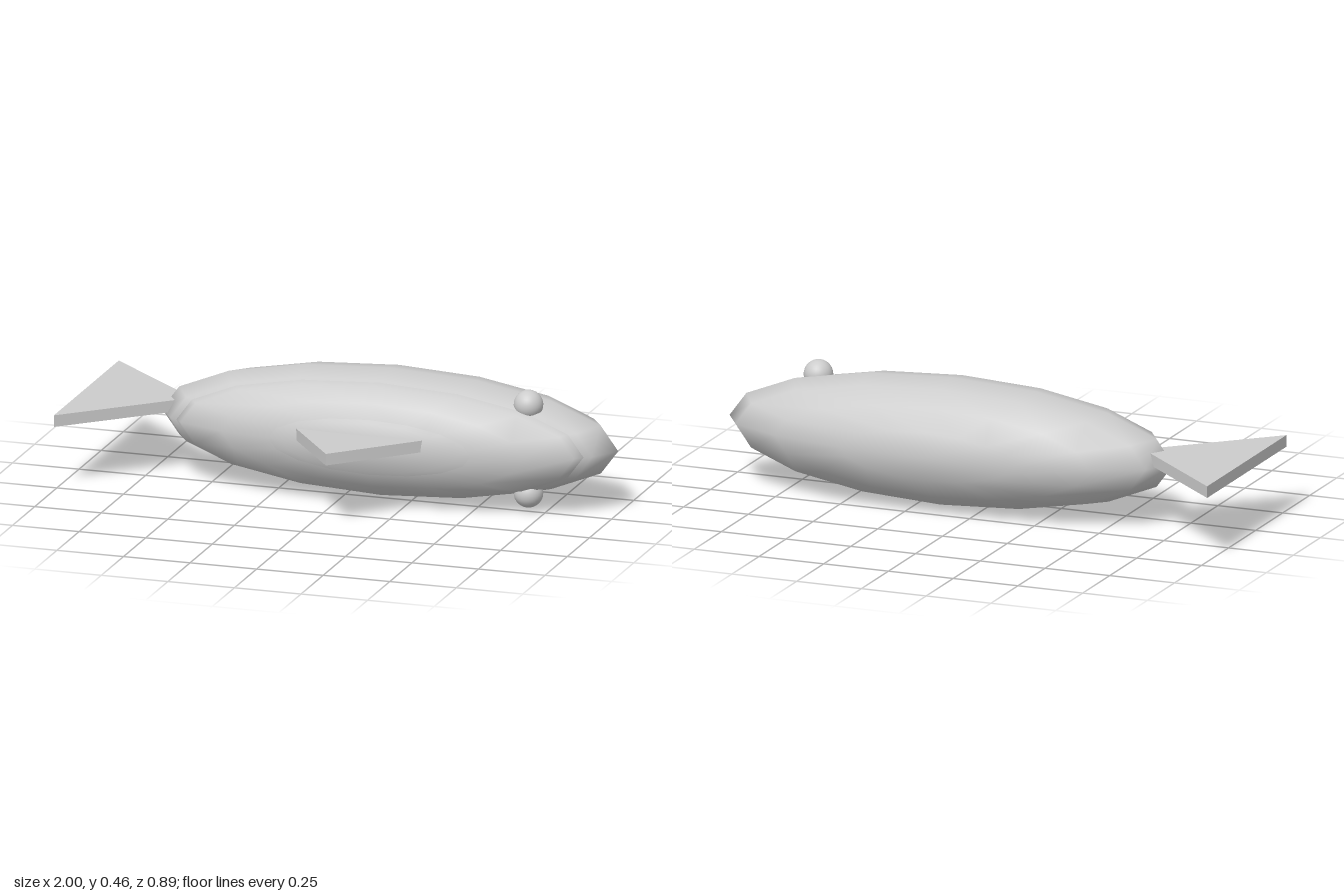
import * as THREE from 'three';

export function createModel() {
  const group = new THREE.Group();
  group.name = 'fish';
  const grey = new THREE.MeshStandardMaterial({ color: 0xcccccc });
  grey.name = 'plain grey';

  function add(name, geometry, x, y, z) {
    const mesh = new THREE.Mesh(geometry, grey);
    mesh.name = name;
    mesh.position.set(x, y, z);
    group.add(mesh);
  }

  // Stretched sphere with its poles along z
  function ellipsoid(rx, ry, rz) {
    return new THREE.SphereGeometry(1, 16, 8).rotateX(Math.PI / 2).scale(rx, ry, rz);
  }

  // Flat triangular plate, corners given as [x, z]
  function plate(corners, thickness) {
    const shape = new THREE.Shape(corners.map(([x, z]) => new THREE.Vector2(x, -z)));
    return new THREE.ExtrudeGeometry(shape, { depth: thickness, bevelEnabled: false })
      .rotateX(-Math.PI / 2);
  }

  // Main body and the slightly smaller belly overlapping its front side
  add('body', ellipsoid(0.857, 0.231, 0.265), 0.143, 0.231, -0.075);
  add('belly', ellipsoid(0.8, 0.216, 0.188), 0.143, 0.231, -0.003);

  // Tail and side fin
  add('tailFin', plate([[-1, 0.285], [-0.6, -0.083], [-1, -0.448]], 0.043), 0, 0.236, 0);
  add('sideFin', plate([[-0.18, 0.1], [0.074, 0.442], [0.42, 0.1]], 0.043), 0, 0.236, 0);

  // Eyes on both flanks
  for (const [name, y] of [['upperEye', 0.397], ['lowerEye', 0.069]]) {
    add(name, new THREE.SphereGeometry(0.053, 32, 16), 0.688, y, 0);
  }

  return group;
}
